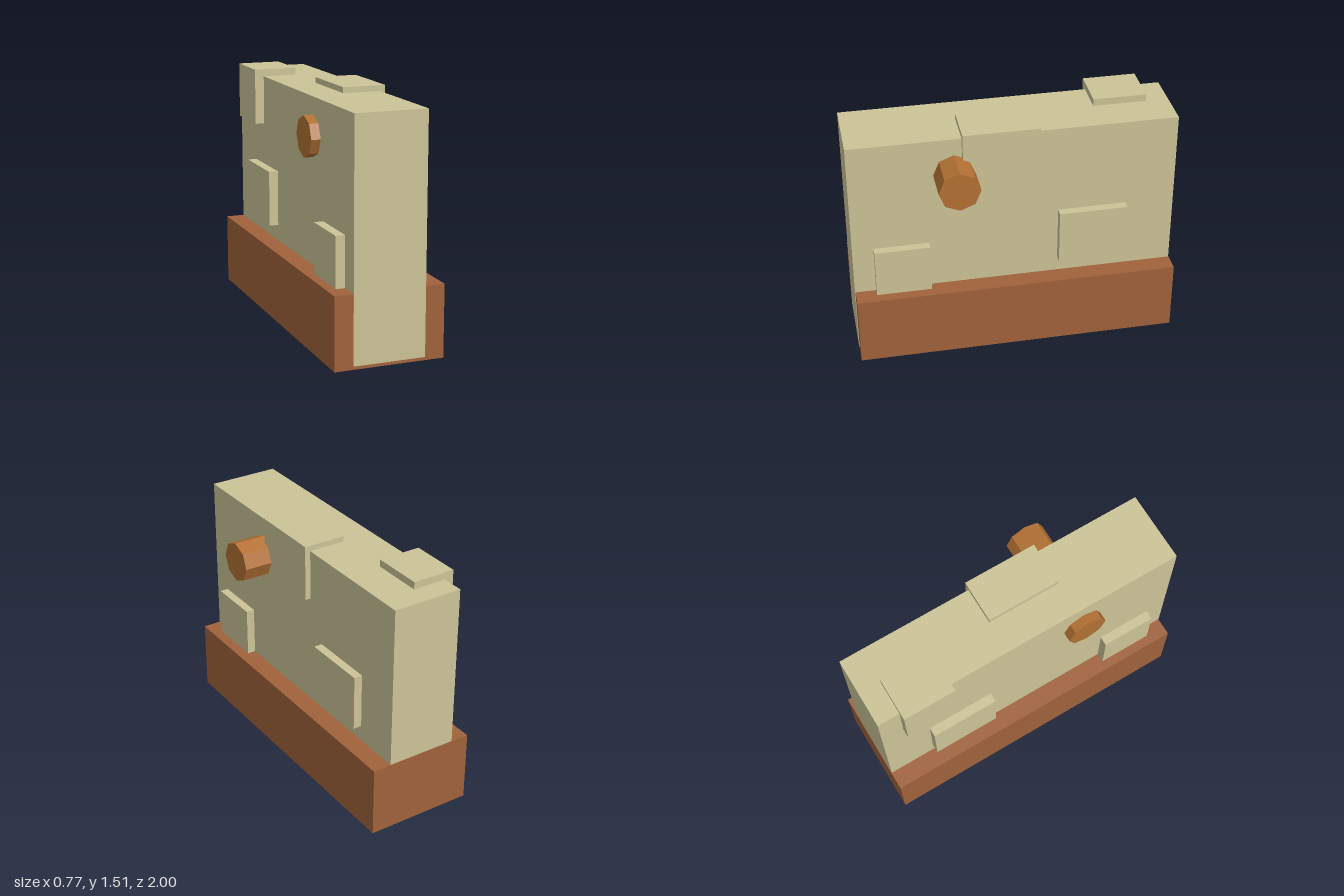
import * as THREE from 'three';

const stone = new THREE.MeshStandardMaterial({ name: 'sandstone', color: 0xcbc396 });
const brown = new THREE.MeshStandardMaterial({ name: 'brown earth', color: 0xa0623b });
const copper = new THREE.MeshStandardMaterial({ name: 'copper', color: 0xb27033 });
for (const m of [stone, brown, copper]) m.flatShading = false;

export function createModel() {
  const group = new THREE.Group();

  // Box from its low and high extents on each axis
  const block = (name, material, [x0, x1], [y0, y1], [z0, z1]) => {
    const mesh = new THREE.Mesh(new THREE.BoxGeometry(x1 - x0, y1 - y0, z1 - z0), material);
    mesh.position.set((x0 + x1) / 2, (y0 + y1) / 2, (z0 + z1) / 2);
    mesh.name = name;
    group.add(mesh);
  };

  // Base and the tall wall; the wall is flush with the front of the base
  block('base', brown, [-0.387, 0.29], [0, 0.445], [-1, 0.997]);
  block('wall', stone, [-0.272, 0.172], [0.02, 1.465], [-0.997, 1]);

  // Stones that run through the wall and stand out on both sides
  block('lowFrontStone', stone, [-0.33, 0.225], [0.405, 0.755], [0.53, 0.87]);
  block('middleBackStone', stone, [-0.33, 0.225], [0.545, 0.895], [-0.695, -0.27]);

  // Stones set into the top edge
  block('topMiddleStone', stone, [-0.063, 0.207], [1.15, 1.5], [-0.147, 0.317]);
  block('topBackStone', stone, [-0.33, -0.057], [1.16, 1.51], [-0.857, -0.527]);

  // Eight-sided peg through the wall
  const pegShape = new THREE.CylinderGeometry(0.126, 0.126, 0.715, 8).toNonIndexed();
  pegShape.rotateZ(Math.PI / 2);
  pegShape.computeVertexNormals();
  const peg = new THREE.Mesh(pegShape, copper);
  peg.position.set(0.0275, 1.232, 0.365);
  peg.name = 'peg';
  group.add(peg);

  return group;
}
